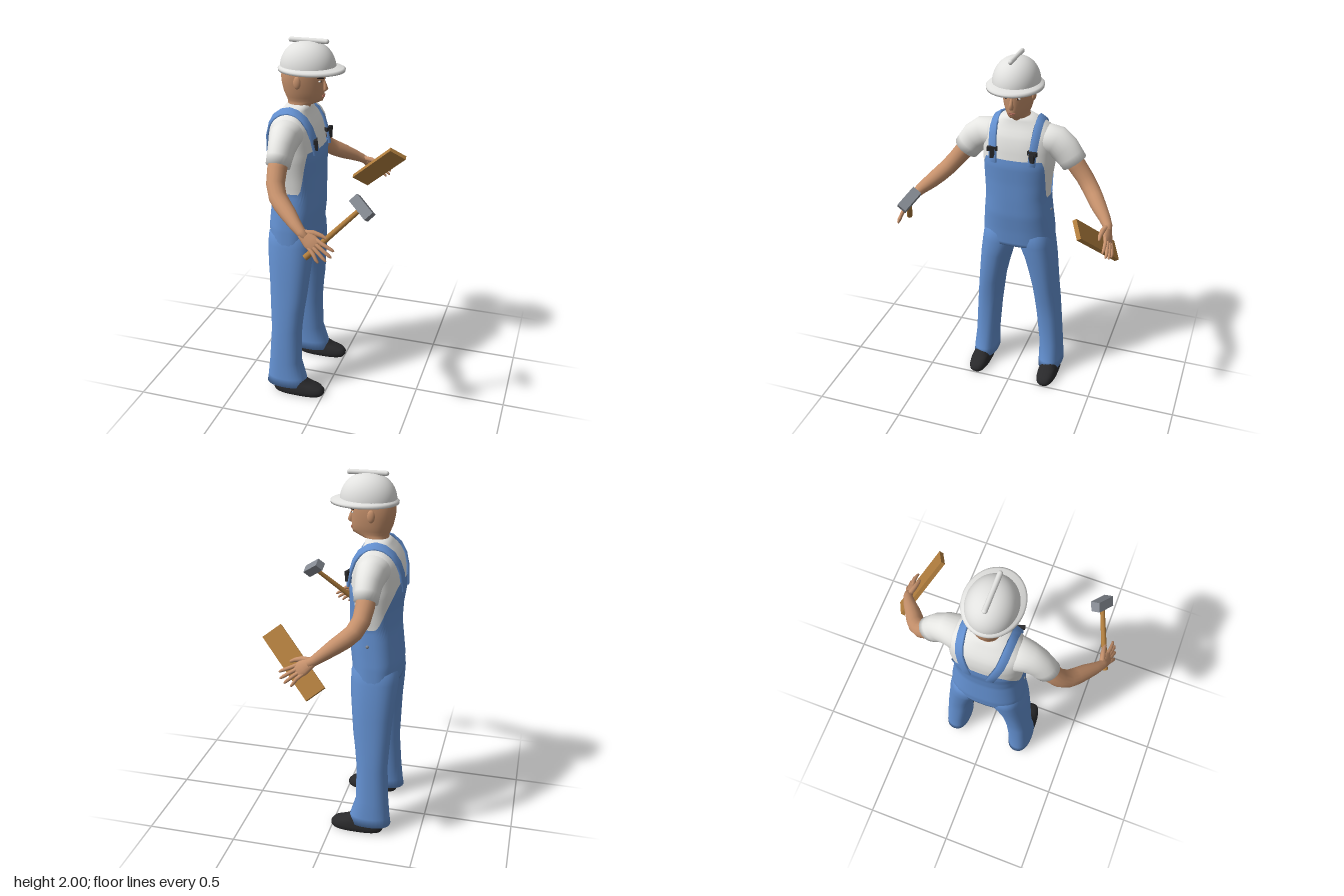
import * as THREE from 'three';

const V = (x, y, z) => new THREE.Vector3(x, y, z);
const paint = (name, color, side = THREE.FrontSide) => {
  const m = new THREE.MeshStandardMaterial({ color, side });
  m.name = name;
  return m;
};

// Horizontal section from back xb to front xf; n squares it off, k narrows the front
function ring(y, xb, xf, cz, hz, n = 2, k = 0, sides = 32) {
  const pts = [];
  const pow = (t) => Math.sign(t) * Math.pow(Math.abs(t), 2 / n);
  for (let j = 0; j < sides; j++) {
    const a = (j / sides) * Math.PI * 2, c = Math.cos(a);
    pts.push(V((xb + xf) / 2 + pow(c) * (xf - xb) / 2, y, cz + pow(Math.sin(a)) * hz * (1 - k * c)));
  }
  return pts;
}

// Skin over a stack of equal rings
function loft(rings, cap = true) {
  const n = rings[0].length, pos = [], idx = [];
  rings.forEach((r) => r.forEach((p) => pos.push(p.x, p.y, p.z)));
  for (let i = 0; i < rings.length - 1; i++)
    for (let j = 0; j < n; j++) {
      const a = i * n + j, b = i * n + ((j + 1) % n);
      idx.push(a, a + n, b, b, a + n, b + n);
    }
  if (cap) [0, rings.length - 1].forEach((i) => {
    const c = rings[i].reduce((s, p) => s.add(p), V(0, 0, 0)).divideScalar(n);
    const ci = pos.length / 3;
    pos.push(c.x, c.y, c.z);
    for (let j = 0; j < n; j++) {
      const a = i * n + j, b = i * n + ((j + 1) % n);
      if (i === 0) idx.push(ci, a, b); else idx.push(ci, b, a);
    }
  });
  const g = new THREE.BufferGeometry();
  g.setAttribute('position', new THREE.Float32BufferAttribute(pos, 3));
  g.setIndex(idx);
  g.computeVertexNormals();
  return g;
}

// Tube with changing elliptical section; ref points along the first radius
function limb(points, radii, ref = V(1, 0, 0), sides = 16) {
  return loft(points.map((p, i) => {
    const d = points[Math.min(i + 1, points.length - 1)].clone()
      .sub(points[Math.max(i - 1, 0)]).normalize();
    const u = ref.clone().addScaledVector(d, -ref.dot(d)).normalize();
    const v = u.clone().cross(d);
    const [ru, rv] = [].concat(radii[i], radii[i]);
    return Array.from({ length: sides }, (_, j) => {
      const a = (j / sides) * Math.PI * 2;
      return p.clone().addScaledVector(u, Math.cos(a) * ru).addScaledVector(v, Math.sin(a) * rv);
    });
  }));
}

// Torso sections: y, back, front, half width
const TORSO = [
  [0.885, -0.25, -0.17, 0.09], [0.9, -0.335, -0.088, 0.2], [1.0, -0.34, -0.08, 0.195],
  [1.1, -0.33, -0.068, 0.185], [1.2, -0.32, -0.066, 0.175], [1.3, -0.325, -0.066, 0.184],
  [1.4, -0.34, -0.062, 0.198], [1.5, -0.338, -0.075, 0.2], [1.56, -0.325, -0.09, 0.198],
  [1.6, -0.3, -0.115, 0.175], [1.635, -0.27, -0.13, 0.125], [1.662, -0.25, -0.135, 0.078]];
function torsoRing(y, off) {
  let i = 0;
  while (i < TORSO.length - 2 && TORSO[i + 1][0] < y) i++;
  const A = TORSO[i], B = TORSO[i + 1], t = (y - A[0]) / (B[0] - A[0]);
  const [, xb, xf, hz] = A.map((a, q) => a + (B[q] - a) * t);
  return ring(y, xb - off, xf + off, 0, hz + off, 2.5, 0, 64);
}

export function createModel() {
  const model = new THREE.Group();
  model.name = 'builder';
  const skin = paint('skin', 0xc6916c), blue = paint('denim blue', 0x6390d0, THREE.DoubleSide);
  const white = paint('shirt white', 0xe6e6e3), hat = paint('helmet white', 0xe2e2e0, THREE.DoubleSide);
  const black = paint('black', 0x29292b), wood = paint('wood', 0xb07d3d);
  const steel = paint('steel', 0x858a92), dark = paint('dark brown', 0x33241d), lip = paint('lip', 0xa26654);

  const add = (name, geo, mat, p) => {
    const m = new THREE.Mesh(geo, mat);
    m.name = name;
    if (p) m.position.copy(p);
    model.add(m);
    return m;
  };
  const blob = (name, mat, p, sx, sy, sz) =>
    add(name, new THREE.SphereGeometry(1, 20, 14), mat, p).scale.set(sx, sy, sz);
  const orient = (mesh, x, y) => {
    y.normalize();
    const z = x.clone().cross(y).normalize();
    mesh.quaternion.setFromRotationMatrix(new THREE.Matrix4().makeBasis(y.clone().cross(z), y, z));
  };

  // Shirt body
  const shirt = [];
  for (let i = 0; i <= 24; i++) shirt.push(torsoRing(1.1 + 0.562 * i / 24, 0));
  add('shirt', loft(shirt), white);

  // Overalls with front bib, low sides and raised back
  const bibTop = (a) => {
    const c = Math.cos(a);
    return 1.21 + 0.23 * THREE.MathUtils.smoothstep(c, 0.3, 0.74)
      + 0.25 * THREE.MathUtils.smoothstep(-c, 0.1, 1);
  };
  const rows = [torsoRing(0.885, 0.006)];
  for (let i = 0; i <= 28; i++)
    rows.push(Array.from({ length: 64 }, (_, j) =>
      torsoRing(0.9 + (bibTop(j / 64 * Math.PI * 2) - 0.9) * i / 28, 0.007)[j]));
  add('overallsBody', loft(rows, false), blue);

  // Head and neck: y, back, front, half width, front taper
  add('head', loft([
    [1.6, -0.265, -0.135, 0.065, 0], [1.655, -0.25, -0.13, 0.062, 0], [1.67, -0.25, -0.09, 0.058, 0.2],
    [1.682, -0.252, -0.062, 0.056, 0.35], [1.7, -0.26, -0.055, 0.063, 0.3], [1.73, -0.272, -0.054, 0.073, 0.2],
    [1.77, -0.281, -0.053, 0.08, 0.15], [1.8, -0.284, -0.053, 0.084, 0.12], [1.85, -0.28, -0.055, 0.085, 0.08],
    [1.9, -0.26, -0.08, 0.07, 0]].map(([y, b, f, w, k]) => ring(y, b, f, 0, w, 2, k))), skin);
  add('nose', limb([V(-0.058, 1.795, 0), V(-0.05, 1.765, 0), V(-0.047, 1.745, 0), V(-0.054, 1.732, 0)],
    [[0.005, 0.006], [0.01, 0.009], [0.014, 0.015], [0.006, 0.01]]), skin);
  blob('upperLip', lip, V(-0.057, 1.711, 0), 0.006, 0.004, 0.022);
  blob('lowerLip', lip, V(-0.057, 1.704, 0), 0.006, 0.004, 0.018);

  // Helmet
  const dome = [];
  for (let i = 0; i <= 12; i++) {
    const t = (i / 12) * Math.PI / 2, r = Math.max(Math.pow(Math.cos(t), 0.9), 0.01);
    dome.push(ring(1.85 + 0.137 * Math.sin(t), -0.14 - 0.147 * r, -0.14 + 0.147 * r, 0, 0.125 * r, 2, 0, 48));
  }
  add('helmetDome', loft(dome, false), hat);
  add('helmetBrim', loft([[1.834, -0.27, -0.01, 0.11], [1.836, -0.296, 0.054, 0.147],
    [1.848, -0.298, 0.056, 0.148], [1.854, -0.292, 0.045, 0.14], [1.862, -0.284, 0.005, 0.122]]
    .map(([y, b, f, w]) => ring(y, b, f, 0, w, 2, 0, 48)), false), hat);
  const ridge = add('helmetRidge', new THREE.CapsuleGeometry(0.013, 0.19, 6, 14), hat, V(-0.135, 1.987, 0));
  ridge.rotation.z = Math.PI / 2;

  for (const s of [1, -1]) {
    const side = s > 0 ? 'right' : 'left';
    const P = (x, y, z) => V(x, y, z * s);

    // Face details
    blob(side + 'Ear', skin, P(-0.172, 1.785, 0.085), 0.02, 0.033, 0.012);
    blob(side + 'EyeWhite', white, P(-0.066, 1.789, 0.033), 0.006, 0.005, 0.013);
    blob(side + 'Pupil', dark, P(-0.061, 1.789, 0.032), 0.004, 0.005, 0.005);
    add(side + 'Brow', limb([P(-0.054, 1.801, 0.014), P(-0.059, 1.808, 0.032), P(-0.074, 1.808, 0.052)],
      [0.004, 0.005, 0.003], V(0, 1, 0), 8), dark);

    // Trouser leg: y, back, front, inner, outer
    add(side + 'Leg', loft([[0.05, -0.335, -0.095, 0.137, 0.28], [0.1, -0.328, -0.105, 0.138, 0.277],
      [0.2, -0.318, -0.135, 0.135, 0.27], [0.4, -0.306, -0.135, 0.115, 0.258], [0.52, -0.312, -0.122, 0.1, 0.248],
      [0.6, -0.316, -0.11, 0.09, 0.24], [0.7, -0.322, -0.1, 0.068, 0.231], [0.8, -0.332, -0.09, 0.042, 0.222],
      [0.9, -0.34, -0.083, 0.002, 0.209], [0.96, -0.335, -0.085, 0, 0.2], [1.05, -0.28, -0.12, 0.02, 0.16]]
      .map(([y, b, f, i, o]) => ring(y, b, f, s * (i + o) / 2, (o - i) / 2, 2.3))), blue);

    // Shoe
    add(side + 'Shoe', loft([[0, -0.285, -0.005, 0.05], [0.012, -0.293, 0.004, 0.058], [0.03, -0.293, 0.005, 0.058],
      [0.05, -0.288, -0.012, 0.054], [0.065, -0.285, -0.06, 0.05], [0.085, -0.28, -0.1, 0.045], [0.13, -0.28, -0.14, 0.045]]
      .map(([y, b, f, w]) => ring(y, b, f, s * 0.215, w, 2.6))), black);

    // Shoulder strap: centre point plus sideways tilt in x and y
    const strap = [[-0.06, 1.42, 0.108, -0.3, 0], [-0.076, 1.5, 0.112, -0.3, 0], [-0.096, 1.56, 0.117, -0.35, -0.1],
      [-0.125, 1.605, 0.12, -0.35, -0.4], [-0.165, 1.634, 0.12, -0.1, -0.6], [-0.205, 1.645, 0.12, 0, -0.7],
      [-0.25, 1.634, 0.117, 0.1, -0.6], [-0.29, 1.605, 0.112, 0.3, -0.4], [-0.32, 1.56, 0.103, 0.3, -0.1],
      [-0.338, 1.5, 0.085, 0.2, 0], [-0.346, 1.4, 0.06, 0.1, 0]];
    const mids = strap.map(([x, y, z]) => P(x, y, z));
    add(side + 'Strap', loft(strap.map(([, , , wx, wy], i) => {
      const u = P(wx, wy, 1).normalize();
      const d = mids[Math.min(i + 1, 10)].clone().sub(mids[Math.max(i - 1, 0)]).normalize();
      const v = u.clone().cross(d).normalize();
      return [[1, -1], [1, 1], [-1, 1], [-1, -1]].map(([a, b]) =>
        mids[i].clone().addScaledVector(u, a * 0.021).addScaledVector(v, b * 0.007));
    })), blue);
    add(side + 'Buckle', new THREE.BoxGeometry(0.018, 0.022, 0.056), black, P(-0.066, 1.495, 0.111)).rotation.y = s * 0.3;
    add(side + 'Clasp', new THREE.BoxGeometry(0.018, 0.045, 0.028), black, P(-0.062, 1.468, 0.11)).rotation.y = s * 0.3;
    blob(side + 'Button', steel, P(-0.185, 1.12, 0.19), 0.009, 0.009, 0.006);

    // Sleeve and arm
    add(side + 'Sleeve', limb([P(-0.205, 1.53, 0.11), P(-0.205, 1.528, 0.16), P(-0.203, 1.522, 0.205),
      P(-0.2, 1.488, 0.252), P(-0.2, 1.45, 0.282), P(-0.2, 1.415, 0.308)],
      [[0.09, 0.075], [0.09, 0.083], [0.08, 0.087], [0.07, 0.083], [0.065, 0.077], [0.062, 0.074]], V(1, 0, 0), 24), white);
    add(side + 'Arm', limb([P(-0.2, 1.47, 0.265), P(-0.2, 1.4, 0.322), P(-0.192, 1.34, 0.37), P(-0.165, 1.292, 0.412),
      P(-0.13, 1.264, 0.443), P(-0.085, 1.236, 0.478), P(-0.035, 1.205, 0.52), P(0.005, 1.18, 0.548), P(0.03, 1.166, 0.554)],
      [0.05, 0.05, 0.047, 0.046, 0.045, 0.041, 0.032, 0.025, 0.022]), skin);

    // Hand: points measured along the fingers, towards the thumb, and off the back
    const H = (l, w, h = 0) => P(0.005 + 0.8 * l + 0.58 * w + 0.08 * h,
      1.18 - 0.55 * l + 0.68 * w + 0.47 * h, 0.548 + 0.22 * l - 0.42 * w + 0.87 * h);
    const across = P(0.58, 0.68, -0.42);
    add(side + 'Palm', limb([H(-0.01, 0), H(0.025, 0), H(0.06, 0), H(0.09, 0), H(0.102, 0)],
      [[0.023, 0.02], [0.031, 0.018], [0.039, 0.017], [0.038, 0.013], [0.028, 0.007]], across), skin);
    [0.163, 0.185, 0.192, 0.18].forEach((l, i) => {
      const k = i - 1.5;
      add(side + 'Finger', limb([H(0.075, k * 0.018), H(0.115, k * 0.022, 0.004), H(l - 0.02, k * 0.029, 0),
        H(l - 0.004, k * 0.031, -0.005), H(l, k * 0.031, -0.006)], [0.01, 0.01, 0.0085, 0.006, 0.002], across, 10), skin);
    });
    add(side + 'Thumb', limb([H(0.01, 0.012), H(0.045, 0.042, -0.006), H(0.08, 0.058, -0.012), H(0.105, 0.064, -0.014),
      H(0.11, 0.065, -0.014)], [0.014, 0.014, 0.011, 0.007, 0.002], across, 10), skin);
  }

  // Hammer in the right hand
  const foot = V(0.03, 1.06, 0.572), top = V(0.28, 1.305, 0.445);
  const shaft = top.clone().sub(foot);
  const handle = add('hammerHandle', new THREE.CylinderGeometry(0.012, 0.016, shaft.length(), 14), wood,
    foot.clone().add(top).multiplyScalar(0.5));
  const hammerHead = add('hammerHead', new THREE.BoxGeometry(0.125, 0.052, 0.052), steel, top);
  [handle, hammerHead].forEach((m) => orient(m, V(0.1, -0.055, 0.045), shaft.clone()));

  // Plank under the left hand
  const plank = add('plank', new THREE.BoxGeometry(0.392, 0.024, 0.112), wood, V(0.114, 1.147, -0.515));
  orient(plank, V(0.67, 0.63, 0.38), V(-0.062, 0.565, -0.83));
  return model;
}
